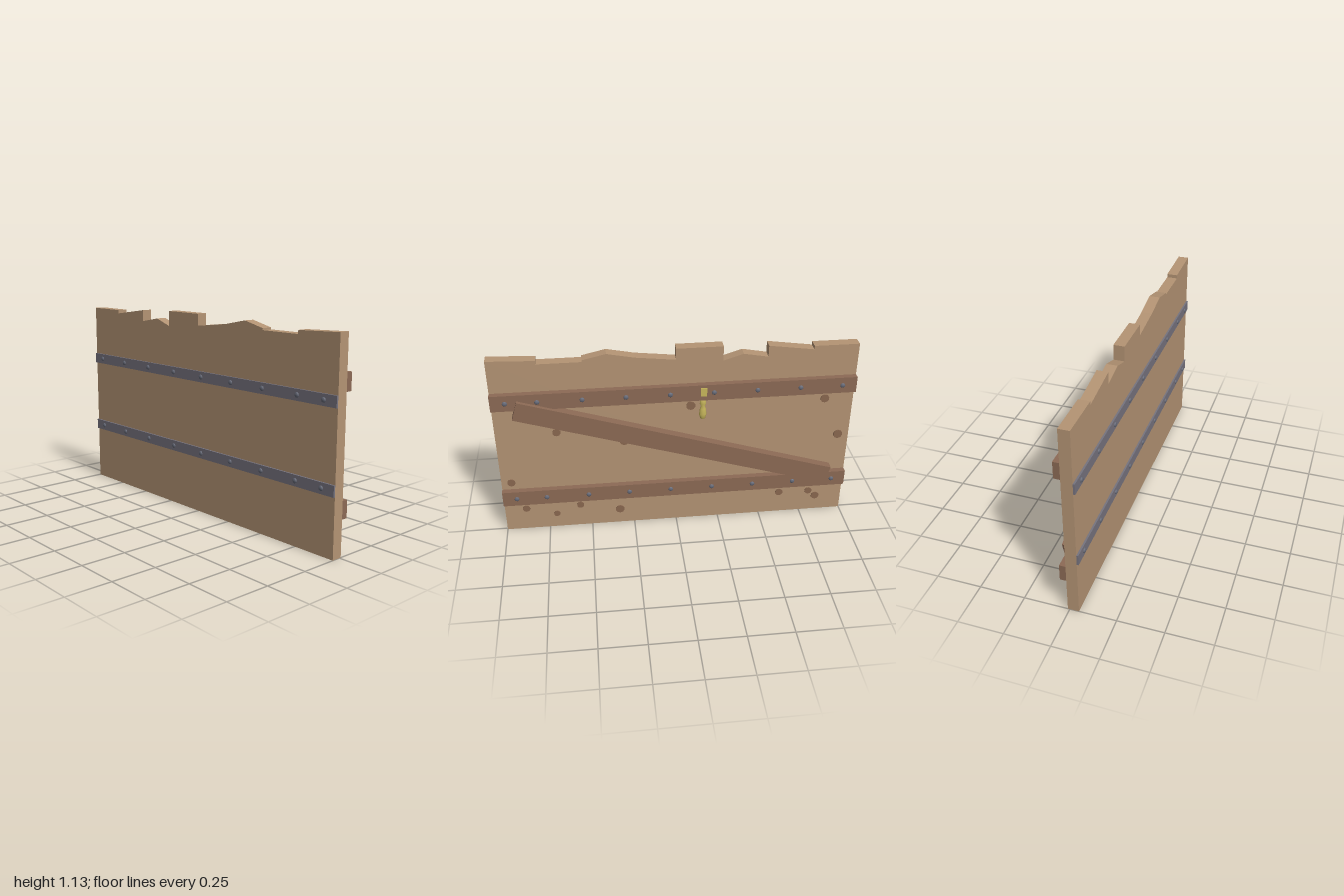
import * as THREE from 'three';

const flat = (name, color) => {
  const m = new THREE.MeshStandardMaterial({ color });
  m.name = name;
  return m;
};

export function createModel() {
  const wood = flat('light wood', 0xb49474);
  const darkWood = flat('dark wood', 0x8c6a55);
  const iron = flat('iron', 0x76737e);
  const rivetIron = flat('rivet iron', 0x666a78);
  const knotWood = flat('knot wood', 0x8a6850);
  const straw = flat('straw yellow', 0xc9b85c);

  const model = new THREE.Group();
  model.name = 'plankWall';

  const add = (name, geometry, material, x, y, z) => {
    const mesh = new THREE.Mesh(geometry, material);
    mesh.name = name;
    mesh.position.set(x, y, z);
    model.add(mesh);
    return mesh;
  };

  const BACK = -0.01, FRONT = 0.05;

  // Plank panel with a broken top edge
  const outline = [
    [-1, 0], [1, 0], [1, 1.11], [0.74, 1.1], [0.74, 1.08], [0.5, 1.08], [0.5, 1.09],
    [0.37, 1.12], [0.22, 1.09], [0, 1.065], [0, 1.13], [-0.255, 1.13], [-0.255, 1.045],
    [-0.365, 1.08], [-0.5, 1.055], [-0.5, 1.12], [-0.75, 1.085], [-0.75, 1.105], [-1, 1.105],
  ];
  const shape = new THREE.Shape(outline.map(([x, y]) => new THREE.Vector2(x, y)));
  add('plankPanel', new THREE.ExtrudeGeometry(shape, { depth: FRONT - BACK, bevelEnabled: false }),
    wood, 0, 0, BACK);

  // Domed rivets, facing front (+1) or back (-1)
  const rivetShape = new THREE.LatheGeometry(
    [[0.014, 0], [0.014, 0.003], [0.009, 0.007], [0, 0.008]].map(([r, h]) => new THREE.Vector2(r, h)), 8);
  rivetShape.rotateX(Math.PI / 2);
  const rivetX = [-0.92, -0.685, -0.445, -0.205, 0.035, 0.275, 0.51, 0.75, 0.92];
  const addRivets = (name, y, z, side) => rivetX.forEach((x) => {
    add(name, rivetShape, rivetIron, x, y, z).rotation.y = side > 0 ? 0 : Math.PI;
  });

  // Iron straps across the front
  for (const y of [0.785, 0.35]) {
    add('ironStrap', new THREE.BoxGeometry(2, 0.06, 0.01), iron, 0, y, FRONT + 0.005);
    addRivets('strapRivet', y, FRONT + 0.01, 1);
  }

  // Wooden rails across the back
  const railDepth = 0.034;
  for (const y of [0.872, 0.242]) {
    add('backRail', new THREE.BoxGeometry(2, 0.094, railDepth), darkWood, 0, y, BACK - railDepth / 2);
    addRivets('railRivet', y, BACK - railDepth, -1);
  }

  // Diagonal brace over the rails
  add('diagonalBrace', new THREE.BoxGeometry(1.845, 0.11, 0.05), darkWood, -0.007, 0.5575, -0.04)
    .rotation.z = 0.302;

  // Knots on the back: x, y, radius
  const knots = [
    [0.664, 0.655, 0.023], [0.944, 0.335, 0.023], [0.877, 0.145, 0.022], [0.703, 0.095, 0.019],
    [0.563, 0.147, 0.021], [0.333, 0.097, 0.026], [-0.081, 0.778, 0.026], [-0.838, 0.776, 0.025],
    [-0.938, 0.533, 0.027], [-0.619, 0.142, 0.023], [-0.798, 0.139, 0.022], [-0.843, 0.1, 0.024],
    [0.293, 0.572, 0.025], [-0.449, 0.356, 0.023],
  ];
  for (const [x, y, r] of knots) {
    const disc = new THREE.CylinderGeometry(r, r, 0.005, 10);
    disc.rotateX(Math.PI / 2);
    add('woodKnot', disc, knotWood, x, y, BACK - 0.0025);
  }

  // Straw tuft: a short band on the rail and a bundle hanging below it
  add('strawBand', new THREE.BoxGeometry(0.034, 0.05, 0.006), straw, -0.148, 0.878, BACK - railDepth - 0.003);
  const tuft = new THREE.LatheGeometry(
    [[0, -0.068], [0.014, -0.062], [0.021, -0.035], [0.017, 0], [0.011, 0.018], [0.018, 0.03], [0.017, 0.062], [0, 0.064]]
      .map(([r, h]) => new THREE.Vector2(r, h)), 8);
  add('strawBundle', tuft, straw, -0.148, 0.758, BACK - 0.006).scale.z = 0.6;

  return model;
}
